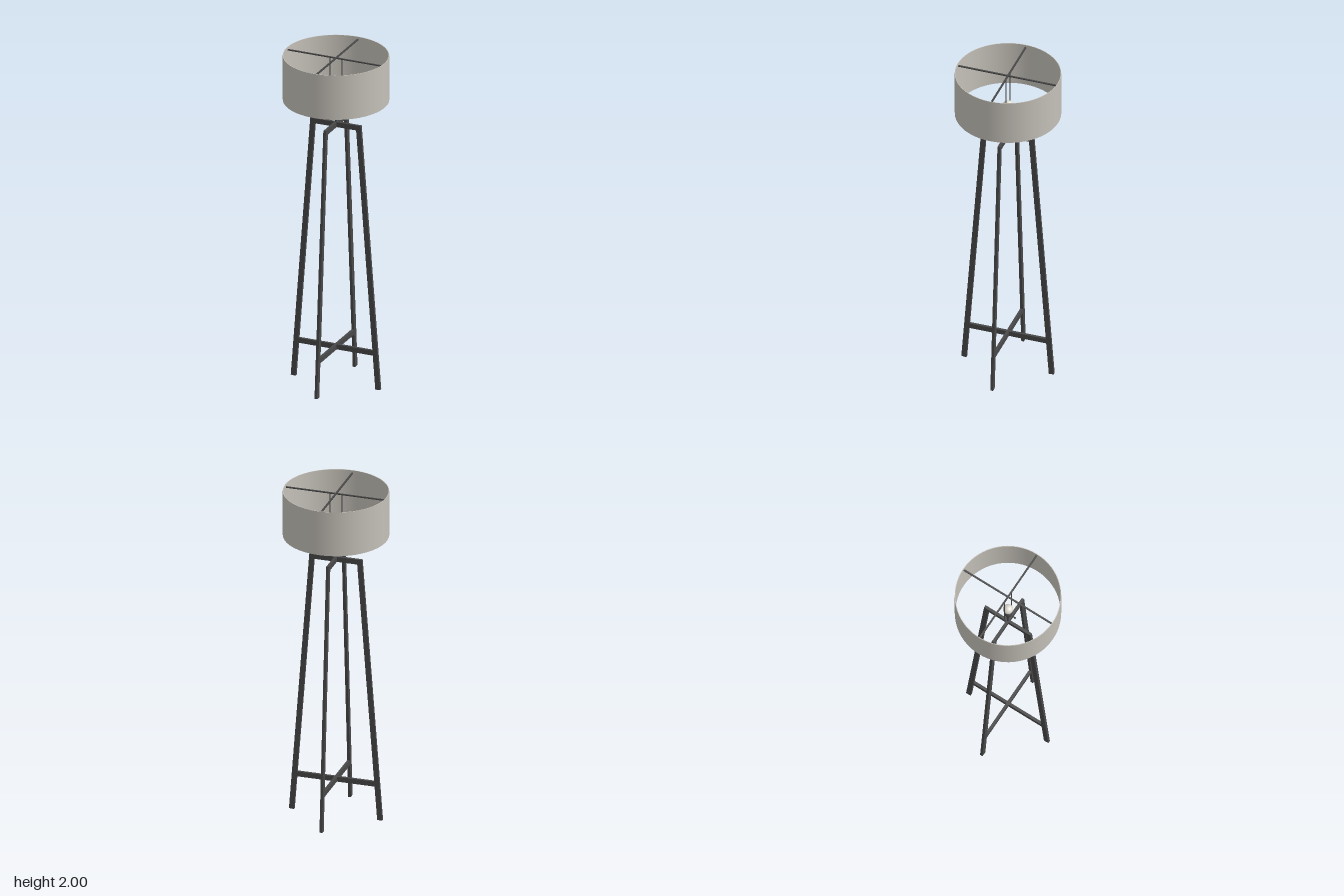
import * as THREE from 'three';

const mat = (name, color, side = THREE.FrontSide) => {
  const m = new THREE.MeshStandardMaterial({ color, side });
  m.name = name;
  return m;
};

export function createModel() {
  const root = new THREE.Group();
  root.name = 'floorLamp';
  const metal = mat('darkMetal', 0x484848);
  const fabric = mat('shadeFabric', 0xc4c0b8, THREE.DoubleSide);
  const glass = mat('bulbGlass', 0xdedbd3);

  const add = (parent, name, geometry, material, x = 0, y = 0, z = 0) => {
    const mesh = new THREE.Mesh(geometry, material);
    mesh.name = name;
    mesh.position.set(x, y, z);
    parent.add(mesh);
    return mesh;
  };
  const lathe = (pts, segments = 32) =>
    new THREE.LatheGeometry(pts.map(([r, y]) => new THREE.Vector2(r, y)), segments);

  // Two crossed frames, each with a pair of tapering legs and two rails
  const depth = 0.016;
  const legShape = new THREE.Shape([
    [0.247, 0], [0.277, 0.002], [0.156, 1.595], [0.126, 1.595],
  ].map(([x, y]) => new THREE.Vector2(x, y)));
  const legGeometry = new THREE.ExtrudeGeometry(legShape, { depth, bevelEnabled: false });
  legGeometry.translate(0, 0, -depth / 2);
  for (let i = 0; i < 2; i++) {
    const frame = new THREE.Group();
    frame.name = 'frame' + (i + 1);
    frame.rotation.y = i * Math.PI / 2;
    for (const turn of [0, Math.PI]) add(frame, 'leg', legGeometry, metal).rotation.y = turn;
    add(frame, 'topRail', new THREE.BoxGeometry(0.27, 0.03, depth), metal, 0, 1.58, 0);
    add(frame, 'lowerRail', new THREE.BoxGeometry(0.476, 0.03, depth), metal, 0, 0.22, 0);
    // Flat spoke that carries the shade
    add(frame, 'shadeSpoke', new THREE.BoxGeometry(0.598, 0.006, 0.01), metal, 0, 1.983, 0);
    root.add(frame);
  }

  // Drum shade with thin rims
  const R = 0.301, r = 0.297, low = 1.73, high = 2;
  const wall = (radius) => new THREE.CylinderGeometry(radius, radius, high - low, 64, 1, true);
  add(root, 'shadeOuter', wall(R), fabric, 0, (low + high) / 2, 0);
  add(root, 'shadeInner', wall(r), fabric, 0, (low + high) / 2, 0);
  for (const y of [low, high]) {
    add(root, 'shadeRim', new THREE.RingGeometry(r, R, 64), fabric, 0, y, 0).rotation.x = -Math.PI / 2;
  }

  // Stem and bulb holder
  add(root, 'stem', new THREE.CylinderGeometry(0.006, 0.006, 0.1, 16), metal, 0, 1.635, 0);
  add(root, 'socket', lathe([
    [0, 1.675], [0.012, 1.675], [0.016, 1.69], [0.016, 1.7], [0.023, 1.705],
    [0.023, 1.725], [0.019, 1.73], [0.017, 1.745], [0, 1.745],
  ]), metal);

  // Switch key on the front of the holder
  add(root, 'switchRod', new THREE.CylinderGeometry(0.003, 0.003, 0.03, 10), metal, 0, 1.708, 0.034)
    .rotation.x = Math.PI / 2;
  add(root, 'switchKey', new THREE.SphereGeometry(0.006, 12, 8), metal, 0, 1.708, 0.048);

  // Round bulb with a short neck
  add(root, 'bulb', new THREE.SphereGeometry(0.029, 24, 16), glass, 0, 1.782, 0);
  add(root, 'bulbNeck', new THREE.CylinderGeometry(0.018, 0.014, 0.025, 20), glass, 0, 1.753, 0);

  // Upright rods linking the holder to the spokes
  for (const s of [-1, 1]) {
    add(root, 'harpRod', new THREE.CylinderGeometry(0.003, 0.003, 0.3, 10), metal, s * 0.036, 1.832, 0);
    add(root, 'harpFoot', new THREE.CylinderGeometry(0.006, 0.006, 0.012, 12), metal, s * 0.036, 1.686, 0);
  }
  add(root, 'harpBracket', new THREE.BoxGeometry(0.072, 0.004, 0.008), metal, 0, 1.686, 0);

  return root;
}
